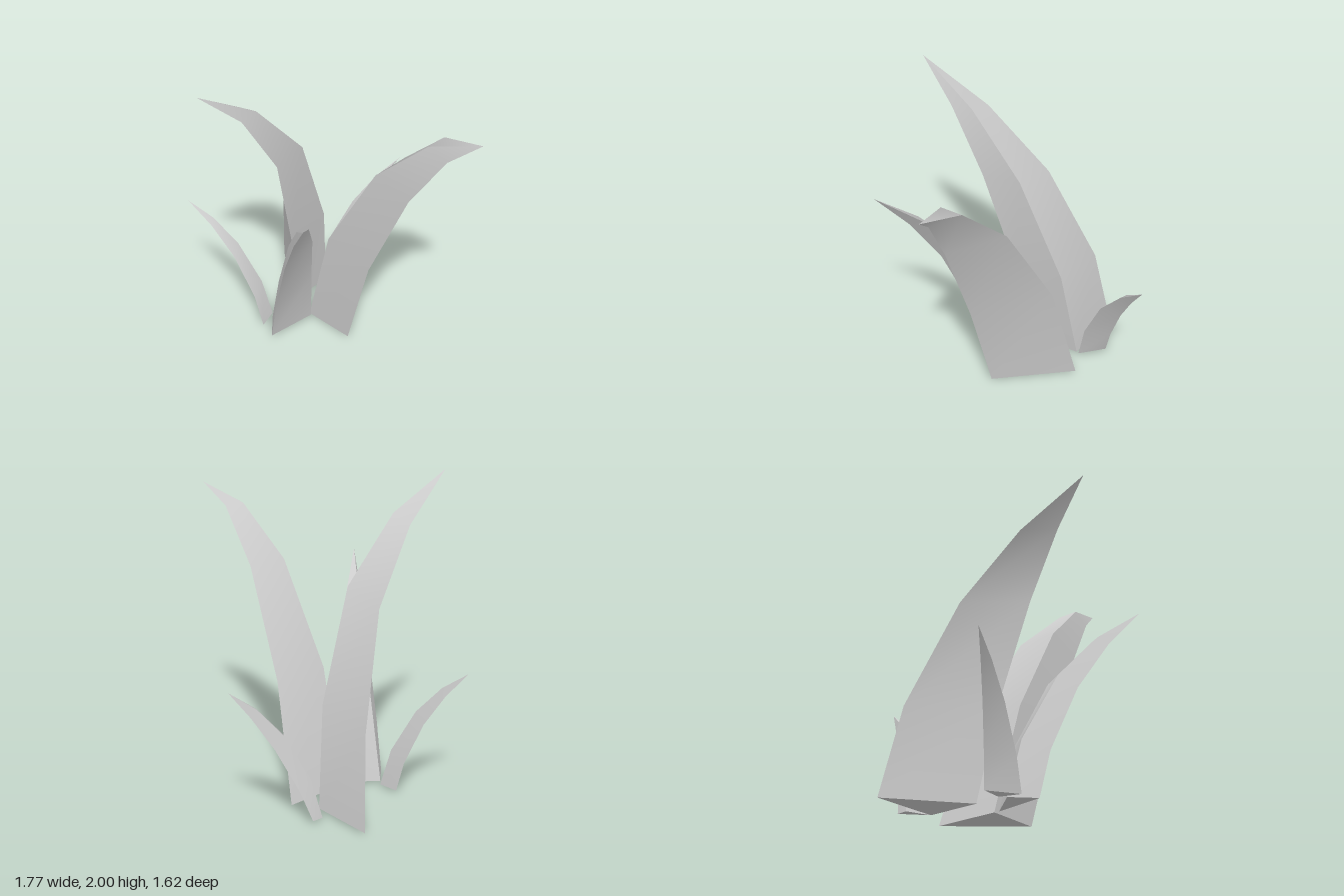
import * as THREE from 'three';

// Points along one blade edge: it bends from root through mid to the tip.
// m is how far the edge has come at mid, per axis; the other levels follow from it.
function bladeEdge(root, mid, tip) {
  const levels = [
    () => 0,
    (m) => 0.468 * m * m + 0.242 * m - 0.05,
    (m) => m,
    (m) => 0.43 + 0.67 * m,
  ];
  return levels.map((level) => root.map((r, axis) => {
    const span = tip[axis] - r;
    return r + span * level((mid[axis] - r) / span);
  }));
}

// A three-sided blade. Each face is a strip of its own, smooth along its length
// and creased where it meets the next.
function bladeGeometry(edges, tip) {
  const [a, b, c] = edges.map((edge) => edge[0]);
  // order the edges so that the faces point outward
  const area = (b[2] - a[2]) * (c[0] - a[0]) - (b[0] - a[0]) * (c[2] - a[2]);
  const ring = area > 0 ? edges : [...edges].reverse();
  const positions = [];
  const indices = [];
  for (let s = 0; s < 3; s++) {
    const left = ring[s];
    const right = ring[(s + 1) % 3];
    const start = positions.length / 3;
    for (let i = 0; i < left.length; i++) {
      positions.push(...left[i], ...right[i]);
      const k = start + 2 * i;
      if (i < left.length - 1) indices.push(k, k + 1, k + 3, k, k + 3, k + 2);
      else indices.push(k, k + 1, k + 2);
    }
    positions.push(...tip);
  }
  // root cap
  const n = positions.length / 3;
  for (const edge of ring) positions.push(...edge[0]);
  indices.push(n, n + 2, n + 1);

  const geometry = new THREE.BufferGeometry();
  geometry.setAttribute('position', new THREE.Float32BufferAttribute(positions, 3));
  geometry.setIndex(indices);
  geometry.computeVertexNormals();
  return geometry;
}

export function createModel() {
  const group = new THREE.Group();
  group.name = 'grassTuft';
  const material = new THREE.MeshStandardMaterial({ color: 0xcccccc });
  material.name = 'paleGrey';

  // roots: three ground corners (x, z); mids: the same edges halfway up (x, y, z)
  function addBlade(name, groundY, tip, roots, mids) {
    const edges = roots.map(([x, z], i) => bladeEdge([x, groundY, z], mids[i], tip));
    const mesh = new THREE.Mesh(bladeGeometry(edges, tip), material);
    mesh.name = name;
    group.add(mesh);
  }

  addBlade('tallRightSideBlade', 0.01, [-0.725, 2, 0.38],
    [[-0.27, -0.81], [0.028, -0.49], [-0.21, -0.23]],
    [[-0.33, 1.28, -0.355], [-0.127, 1.35, -0.115], [-0.285, 1.335, 0.09]]);

  addBlade('tallLeftSideBlade', 0, [0.886, 1.84, 0.67],
    [[-0.09, -0.115], [0.205, -0.435], [0.165, 0.135]],
    [[0.31, 1.41, 0.305], [0.505, 1.41, 0.105], [0.5, 1.33, 0.475]]);

  addBlade('frontBlade', 0.01, [-0.125, 1.36, 0.81],
    [[-0.08, -0.085], [-0.345, -0.06], [-0.345, 0.13]],
    [[-0.07, 0.86, 0.22], [-0.22, 0.86, 0.265], [-0.245, 0.77, 0.385]]);

  addBlade('smallBackBlade', 0.02, [0.545, 0.865, -0.745],
    [[0.05, -0.69], [-0.005, -0.64], [0.057, -0.495]],
    [[0.276, 0.49, -0.705], [0.22, 0.56, -0.66], [0.243, 0.545, -0.575]]);

  addBlade('smallRightSideBlade', 0.01, [-0.886, 0.845, -0.27],
    [[-0.45, -0.2], [-0.345, -0.11], [-0.405, 0.02]],
    [[-0.615, 0.48, -0.225], [-0.565, 0.555, -0.185], [-0.59, 0.51, -0.095]]);

  return group;
}
